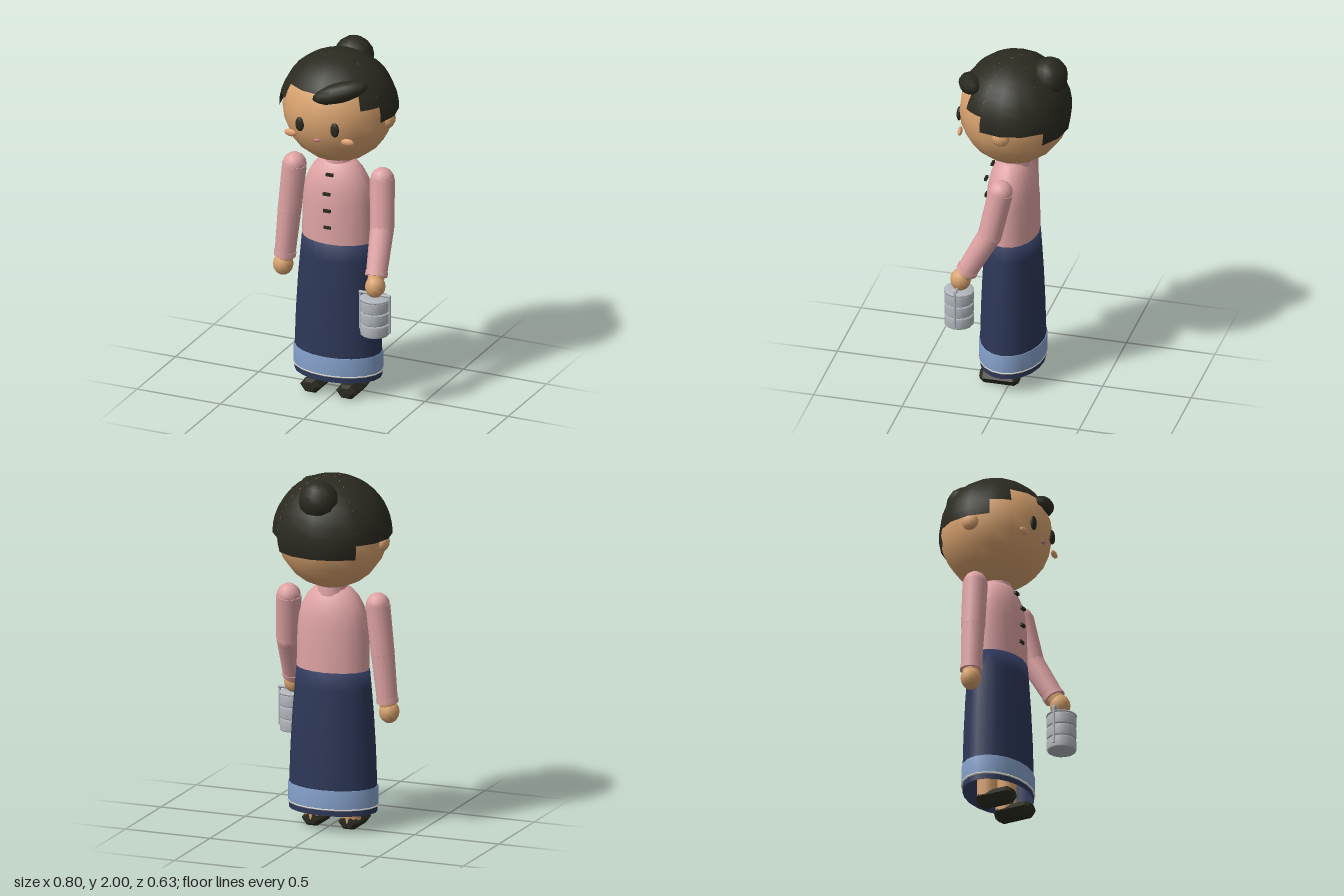
import * as THREE from 'three';

const CX = -0.016; // body centre line
const V = (x, y, z) => new THREE.Vector3(x, y, z);

function material(name, color, side = THREE.FrontSide) {
  const m = new THREE.MeshStandardMaterial({ color, side });
  m.name = name;
  return m;
}

export function createModel() {
  const skin = material('skin', 0xd9a36f);
  const blouse = material('blouse pink', 0xdfa3a4);
  const navy = material('skirt navy', 0x2d3758, THREE.DoubleSide);
  const blue = material('band blue', 0x86a2cc, THREE.DoubleSide);
  const cream = material('trim cream', 0xe6e2d6, THREE.DoubleSide);
  const dark = material('hair black', 0x2b2a20, THREE.DoubleSide);
  const blush = material('cheek peach', 0xe3a273);
  const rose = material('mouth rose', 0xc27c80);
  const metal = material('metal grey', 0xb2b7bd);

  const model = new THREE.Group();
  model.name = 'figure';

  const add = (name, geo, mat, pos, parent = model) => {
    const mesh = new THREE.Mesh(geo, mat);
    mesh.name = name;
    if (pos) mesh.position.copy(pos);
    parent.add(mesh);
    return mesh;
  };
  const ball = (name, mat, pos, sx, sy, sz, seg = 12, parent = model) => {
    const mesh = add(name, new THREE.SphereGeometry(1, seg, Math.max(8, seg - 4)), mat, pos, parent);
    mesh.scale.set(sx, sy, sz);
    return mesh;
  };
  // Tapered cylinder from a (radius ra) to b (radius rb)
  const limb = (name, mat, a, b, ra, rb, seg = 12, parent = model) => {
    const geo = new THREE.CylinderGeometry(rb, ra, a.distanceTo(b), seg);
    const mesh = add(name, geo, mat, a.clone().lerp(b, 0.5), parent);
    mesh.quaternion.setFromUnitVectors(V(0, 1, 0), b.clone().sub(a).normalize());
    return mesh;
  };
  const lathe = (name, mat, points, seg, depth = 1, pos = V(CX, 0, 0.01), parent = model) => {
    const geo = new THREE.LatheGeometry(points.map(([r, y]) => new THREE.Vector2(r, y)), seg);
    geo.scale(1, 1, depth);
    return add(name, geo, mat, pos, parent);
  };

  // Head and ears
  const headY = 1.67;
  ball('head', skin, V(CX, headY, 0), 0.31, 0.311, 0.306, 16);
  for (const s of [-1, 1]) ball('ear', skin, V(CX + s * 0.298, 1.637, 0), 0.036, 0.05, 0.05, 10);

  // Hair cap: sectors around the head, each cut off at its own height
  const hair = new THREE.Group();
  hair.name = 'hair';
  model.add(hair);
  const R = 0.32;
  const step = Math.PI / 8;
  // [first step from the front, number of steps, lower edge height]
  const sectors = [[-2, 4, 1.83], [2, 1, 1.75], [-3, 1, 1.75], [3, 3, 1.66], [-6, 3, 1.66], [6, 4, 1.58]];
  for (const [start, count, y] of sectors) {
    const geo = new THREE.SphereGeometry(R, count, 10, Math.PI / 2 + start * step, count * step,
      0, Math.acos((y - headY) / R));
    geo.scale(1.033, 1, 0.98);
    add('hairCap', geo, dark, V(CX, headY, 0), hair);
  }
  ball('hairBun', dark, V(CX, 1.89, -0.195), 0.113, 0.11, 0.102, 12, hair);
  const tuft = ball('fringeTuft', dark, V(0.092, 1.845, 0.225), 0.158, 0.056, 0.062, 10, hair);
  tuft.rotation.set(0, 0.35, 0.3);

  // Face
  for (const s of [-1, 1]) {
    ball('eye', dark, V(CX + s * 0.105, 1.645, 0.287), 0.026, 0.042, 0.014);
    const cheek = ball('cheek', blush, V(CX + s * 0.172, 1.575, 0.264), 0.038, 0.021, 0.013);
    cheek.rotation.y = s * 0.1;
  }
  ball('mouth', rose, V(CX, 1.57, 0.29), 0.021, 0.009, 0.01);

  // Neck, collar and blouse
  limb('neck', skin, V(CX, 1.3, 0), V(CX, 1.42, 0), 0.07, 0.07);
  limb('collar', blouse, V(CX, 1.32, 0), V(CX, 1.375, 0), 0.086, 0.083, 16);
  lathe('blouse', blouse, [[0.208, 0.88], [0.207, 1.0], [0.203, 1.12], [0.194, 1.2], [0.175, 1.26],
    [0.147, 1.31], [0.11, 1.35], [0.07, 1.365], [0, 1.367]], 20, 0.69);
  for (const [y, z] of [[1.0, 0.154], [1.1, 0.161], [1.2, 0.163], [1.3, 0.125]]) {
    add('button', new THREE.BoxGeometry(0.042, 0.016, 0.014), dark, V(CX, y, z));
  }

  // Skirt with hem band
  lathe('skirt', navy, [[0.252, 0.1], [0.25, 0.25], [0.243, 0.45], [0.231, 0.65], [0.218, 0.8],
    [0.209, 0.9], [0, 0.901]], 20, 0.7);
  lathe('hemBand', blue, [[0.25, 0.138], [0.257, 0.139], [0.256, 0.243], [0.248, 0.244]], 20, 0.71);
  lathe('hemTrim', cream, [[0.25, 0.132], [0.2585, 0.133], [0.2585, 0.141], [0.25, 0.142]], 20, 0.71);

  // Legs and six-sided shoes
  for (const s of [-1, 1]) {
    const x = CX + s * 0.108;
    limb('leg', skin, V(x, 0.04, 0), V(x, 0.5, 0), 0.056, 0.06, 10);
    const geo = new THREE.LatheGeometry([[0, -0.11], [0.65, -0.108], [1, -0.085], [1, 0.085], [0.65, 0.108],
      [0, 0.11]].map(([r, y]) => new THREE.Vector2(r, y)), 6);
    geo.rotateY(Math.PI / 2).rotateX(Math.PI / 2);
    geo.scale(0.062, 0.046, 1);
    const flat = geo.toNonIndexed();
    flat.computeVertexNormals();
    add('shoe', flat, dark, V(x, 0.041, 0.055));
  }

  // Arms: sleeve in two segments, cuff and hand
  const arm = (name, shoulder, elbow, wrist, hand) => {
    const g = new THREE.Group();
    g.name = name;
    model.add(g);
    ball('shoulder', blouse, shoulder, 0.067, 0.067, 0.067, 12, g);
    limb('upperSleeve', blouse, shoulder, elbow, 0.07, 0.067, 12, g);
    ball('elbow', blouse, elbow, 0.067, 0.067, 0.067, 12, g);
    limb('lowerSleeve', blouse, elbow, wrist, 0.066, 0.058, 12, g);
    const back = wrist.clone().lerp(elbow, 0.08);
    limb('cuff', blouse, back, wrist.clone().lerp(elbow, -0.02), 0.062, 0.062, 12, g);
    limb('wrist', skin, wrist, hand, 0.048, 0.044, 10, g);
    ball('hand', skin, hand, 0.057, 0.064, 0.057, 12, g);
  };
  arm('rightArm', V(-0.28, 1.278, 0.01), V(-0.308, 1.01, 0.012), V(-0.335, 0.735, 0.015), V(-0.344, 0.678, 0.018));
  arm('leftArm', V(0.248, 1.278, 0.01), V(0.272, 1.015, 0.065), V(0.295, 0.785, 0.19), V(0.303, 0.732, 0.222));

  // Stacked food carrier with a frame handle
  const carrier = new THREE.Group();
  carrier.name = 'foodCarrier';
  carrier.position.set(0.305, 0.455, 0.23);
  model.add(carrier);
  const origin = V(0, 0, 0);
  for (let i = 0; i < 3; i++) {
    const y = i * 0.07;
    lathe('tier', metal, [[0, y], [0.076, y + 0.001], [0.082, y + 0.008], [0.082, y + 0.06],
      [0.076, y + 0.068], [0, y + 0.07]], 14, 1, origin, carrier);
  }
  lathe('lid', metal, [[0, 0.207], [0.084, 0.208], [0.084, 0.216], [0.05, 0.222], [0, 0.224]], 14, 1, origin, carrier);
  for (const s of [-1, 1]) {
    limb('frameRod', metal, V(s * 0.088, 0.02, 0), V(s * 0.088, 0.24, 0), 0.007, 0.007, 8, carrier);
  }
  limb('handleBar', metal, V(-0.094, 0.236, 0), V(0.094, 0.236, 0), 0.009, 0.009, 8, carrier);

  return model;
}
